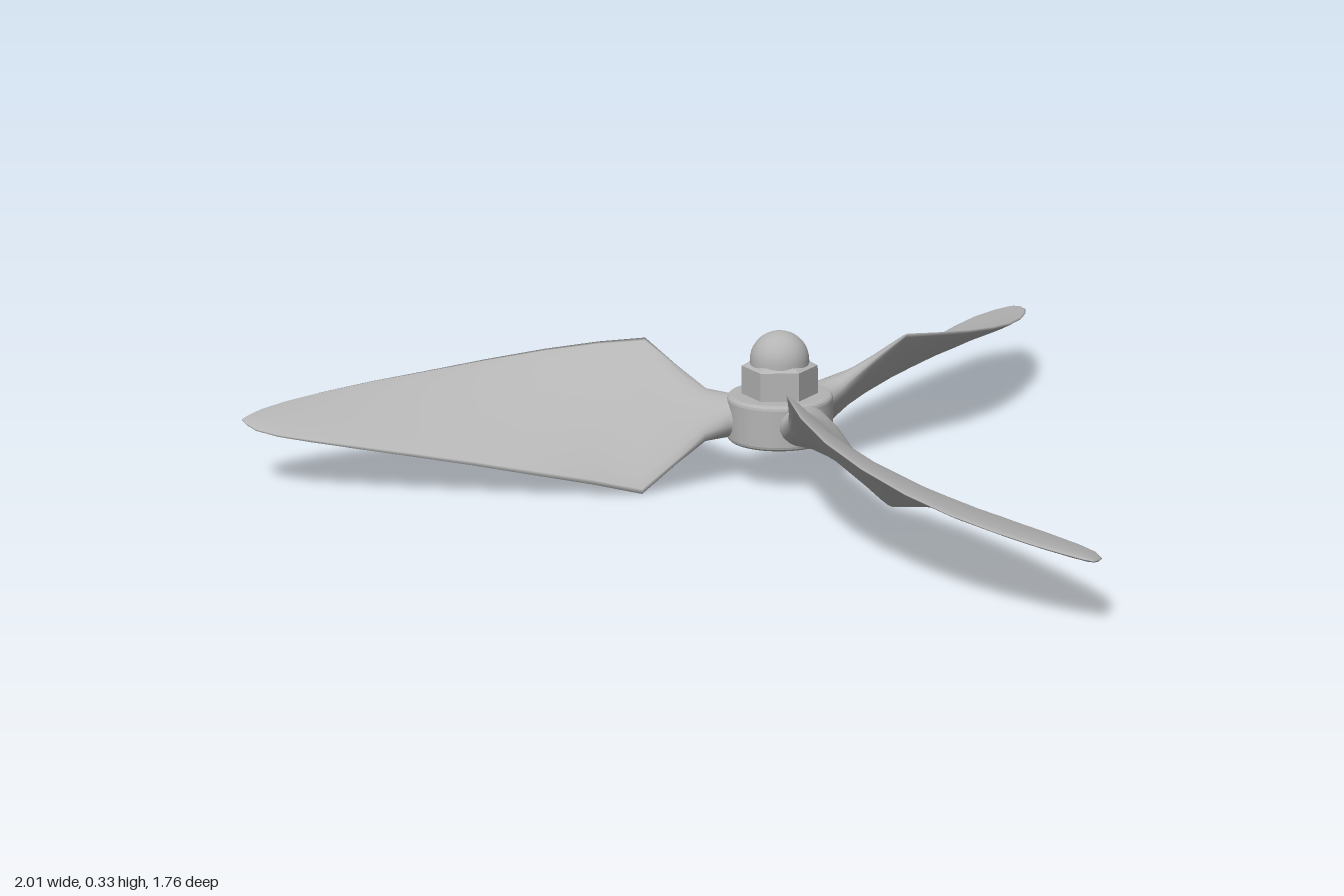
import * as THREE from 'three';

const HUB_Z = 0.275;

// Blade sections: radius, low edge x, low edge y, high edge x, high edge y, half thickness
const SECTIONS = [
  [0.03, -0.055, 0.15, 0.055, 0.15, 0.045],
  [0.11, -0.056, 0.14, 0.058, 0.16, 0.045],
  [0.16, -0.062, 0.115, 0.07, 0.185, 0.036],
  [0.22, -0.08, 0.065, 0.105, 0.23, 0.023],
  [0.295, -0.102, 0.004, 0.155, 0.284, 0.012],
  [0.4, -0.115, 0.03, 0.185, 0.268, 0.011],
  [0.52, -0.12, 0.052, 0.2, 0.248, 0.011],
  [0.65, -0.114, 0.073, 0.196, 0.226, 0.01],
  [0.78, -0.106, 0.091, 0.177, 0.205, 0.01],
  [0.9, -0.095, 0.106, 0.148, 0.189, 0.009],
  [1.0, -0.083, 0.118, 0.11, 0.176, 0.008],
  [1.07, -0.069, 0.126, 0.076, 0.166, 0.007],
  [1.12, -0.045, 0.133, 0.042, 0.157, 0.006],
  [1.145, -0.02, 0.14, 0.018, 0.15, 0.004],
  [1.157, -0.001, 0.145, 0.001, 0.146, 0.001],
];

// Twisted blade lofted through elliptical sections, pointing along -z
function bladeGeometry() {
  const sides = 20, pos = [], index = [];
  SECTIONS.forEach(([r, x0, y0, x1, y1, t], i) => {
    const hx = (x1 - x0) / 2, hy = (y1 - y0) / 2, len = Math.hypot(hx, hy);
    for (let j = 0; j < sides; j++) {
      const a = (j / sides) * Math.PI * 2, u = Math.cos(a), v = Math.sin(a) * t;
      pos.push((x0 + x1) / 2 + u * hx - v * hy / len, (y0 + y1) / 2 + u * hy + v * hx / len, -r);
      if (i < SECTIONS.length - 1) {
        const p = i * sides + j, q = i * sides + (j + 1) % sides;
        index.push(p, p + sides, q, q, p + sides, q + sides);
      }
    }
  });
  const g = new THREE.BufferGeometry();
  g.setAttribute('position', new THREE.Float32BufferAttribute(pos, 3));
  g.setIndex(index);
  g.computeVertexNormals();
  return g;
}

export function createModel() {
  const metal = new THREE.MeshStandardMaterial({ color: 0xb4b4b4, side: THREE.DoubleSide });
  const group = new THREE.Group();
  group.name = 'propeller';
  group.position.z = HUB_Z;
  const root = new THREE.Group();
  root.add(group);

  const add = (geometry, name) => {
    const mesh = new THREE.Mesh(geometry, metal);
    mesh.name = name;
    group.add(mesh);
    return mesh;
  };

  // Three blades
  const blade = bladeGeometry();
  for (let k = 0; k < 3; k++) add(blade, 'blade' + (k + 1)).rotation.y = k * Math.PI * 2 / 3;

  // Hub ring with rounded rims and a shaft bore
  const hub = new THREE.Shape();
  hub.absarc(0, 0, 0.105, 0, Math.PI * 2);
  const bore = new THREE.Path();
  bore.absarc(0, 0, 0.04, 0, Math.PI * 2, true);
  hub.holes.push(bore);
  const hubGeo = new THREE.ExtrudeGeometry(hub, {
    depth: 0.08, bevelEnabled: true, bevelSize: 0.01, bevelThickness: 0.01, bevelSegments: 3, curveSegments: 32,
  });
  hubGeo.rotateX(-Math.PI / 2).translate(0, 0.108, 0);
  add(hubGeo, 'hub');

  // Hexagonal nut, corners facing front and back, with a chamfered top
  const hex = (r0, r1, h, y) => new THREE.CylinderGeometry(r1, r0, h, 6, 1, true).toNonIndexed().translate(0, y, 0);
  const nut = hex(0.082, 0.082, 0.062, 0.229);
  nut.computeVertexNormals();
  add(nut, 'nut');
  const chamfer = hex(0.082, 0.066, 0.008, 0.264);
  chamfer.computeVertexNormals();
  add(chamfer, 'nutChamfer');

  // Domed cap
  const profile = [new THREE.Vector2(0.064, 0.262)];
  for (let i = 0; i <= 10; i++) {
    const a = (i / 10) * Math.PI / 2;
    profile.push(new THREE.Vector2(0.064 * Math.cos(a), 0.273 + 0.063 * Math.sin(a)));
  }
  add(new THREE.LatheGeometry(profile, 28), 'domeCap');

  return root;
}
